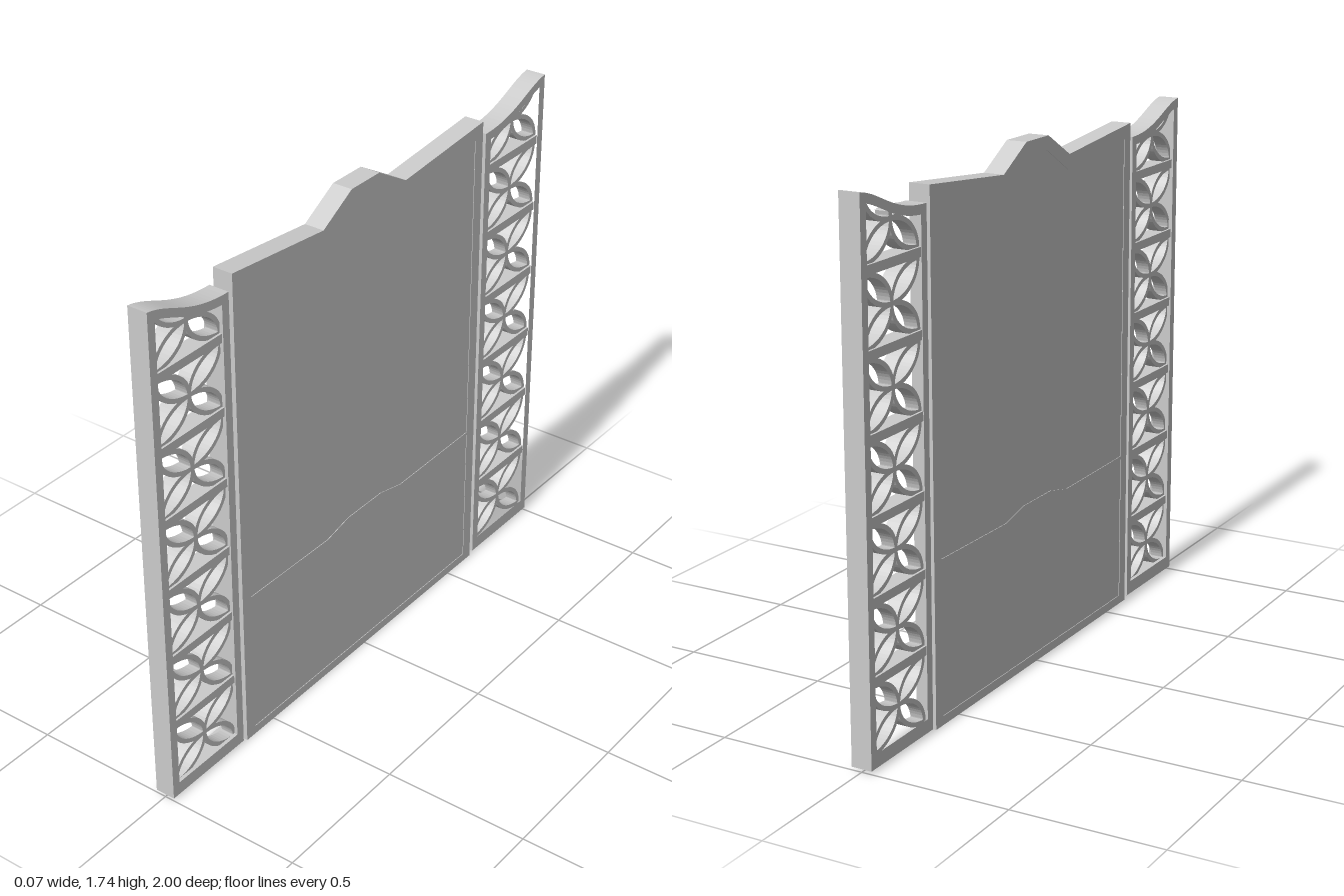
import * as THREE from 'three';

const mat = new THREE.MeshStandardMaterial({ color: 0xcccccc });
const DEPTH = 0.07;
const V = (z, y) => new THREE.Vector2(z, y);

// Extrude a (z, y) outline symmetrically along x
function slab(name, outline, depth, holes = []) {
  const shape = new THREE.Shape(outline);
  shape.holes = holes.map(h => new THREE.Path(h));
  const geo = new THREE.ExtrudeGeometry(shape, { depth, bevelEnabled: false });
  geo.translate(0, 0, -depth / 2).rotateY(-Math.PI / 2);
  const mesh = new THREE.Mesh(geo, mat);
  mesh.name = name;
  return mesh;
}

const rect = (z0, z1, y0, y1) => [V(z0, y0), V(z1, y0), V(z1, y1), V(z0, y1)];
const mirrored = pts => [...pts, ...pts.slice().reverse().map(p => V(-p.x, p.y))];

// Central panel: shallow recessed fields inside a crested border
function centrePanel() {
  const g = new THREE.Group();
  g.name = 'centrePanel';
  const outline = mirrored([V(0.637, 0), V(0.637, 1.70), V(0.21, 1.66), V(0.07, 1.74)]);
  const upper = mirrored([V(0.595, 0.545), V(0.595, 1.65), V(0.2, 1.612), V(0.06, 1.695),
  ]);
  // lower edge of the upper field follows the raised middle rail
  const rail = [V(-0.2, 0.54), V(-0.09, 0.565), V(0.09, 0.565), V(0.2, 0.54)];
  const lower = [V(-0.595, 0.03), V(0.595, 0.03), V(0.595, 0.535),
    ...rail.slice().reverse().map(p => V(p.x, p.y - 0.012)), V(-0.595, 0.535)];
  g.add(slab('panelCore', outline, DEPTH - 0.004));
  g.add(slab('panelBorder', outline, DEPTH, [[...upper, ...rail], lower]));
  return g;
}

// Side screen: framed lattice of four-petal cells under a sweeping top
function sideScreen(s) {
  const g = new THREE.Group();
  g.name = s > 0 ? 'frontScreen' : 'backScreen';
  const zi = 0.655, zo = 1, bar = 0.03;
  const inner = zi + bar, outer = zo - bar;
  const sweep = new THREE.CubicBezierCurve(
    V(zo, 1.737), V(0.9, 1.725), V(0.83, 1.65), V(zi, 1.65)).getPoints(24);
  const topAt = z => {
    const i = Math.max(1, sweep.findIndex(p => p.x <= z));
    const a = sweep[i - 1], b = sweep[i];
    return a.y + (b.y - a.y) * (z - a.x) / (b.x - a.x);
  };
  const side = pts => pts.map(p => V(p.x * s, p.y));

  // Frame with one tall opening
  const opening = [V(inner, 0.055), V(outer, 0.055)];
  for (let i = 0; i <= 16; i++) {
    const z = outer + (inner - outer) * i / 16;
    opening.push(V(z, topAt(z) - bar));
  }
  g.add(slab('screenFrame', side([V(zi, 0.01), V(zo, 0.01), ...sweep]), DEPTH, [side(opening)]));

  // Cross rails
  const pitch = 0.2465, firstRail = 0.278;
  for (let i = 0; i < 6; i++) {
    const y = firstRail + i * pitch;
    g.add(slab('crossRail', side(rect(inner - 0.005, outer + 0.005, y - 0.015, y + 0.015)), 0.06));
  }

  // Petal arcs: half ellipses from each cell edge, meeting at the centre
  const cz = (inner + outer) / 2, a = (outer - inner) / 2, w = 0.0075;
  for (let c = 0; c < 7; c++) {
    const cy = firstRail + (c - 0.5) * pitch, b = (pitch - bar) / 2;
    for (let k = 0; k < 4; k++) {
      const dir = k * Math.PI / 2;
      const ez = cz - Math.round(Math.cos(dir)) * a;
      const ey = cy - Math.round(Math.sin(dir)) * b;
      const out = [], inn = [];
      for (let i = 0; i <= 28; i++) {
        const t = dir - Math.PI / 2 + Math.PI * i / 28;
        const z = ez + a * Math.cos(t), y = ey + b * Math.sin(t);
        if (y > topAt(z) - 0.015) continue; // stop inside the sweeping top bar
        const n = V(Math.cos(t) / a, Math.sin(t) / b).normalize().multiplyScalar(w);
        out.push(V(z + n.x, y + n.y));
        inn.push(V(z - n.x, y - n.y));
      }
      if (out.length > 1) g.add(slab('petalArc', side([...out, ...inn.reverse()]), 0.045));
    }
  }
  return g;
}

export function createModel() {
  const model = new THREE.Group();
  model.name = 'gatePanel';
  model.add(centrePanel(), sideScreen(1), sideScreen(-1));
  return model;
}
